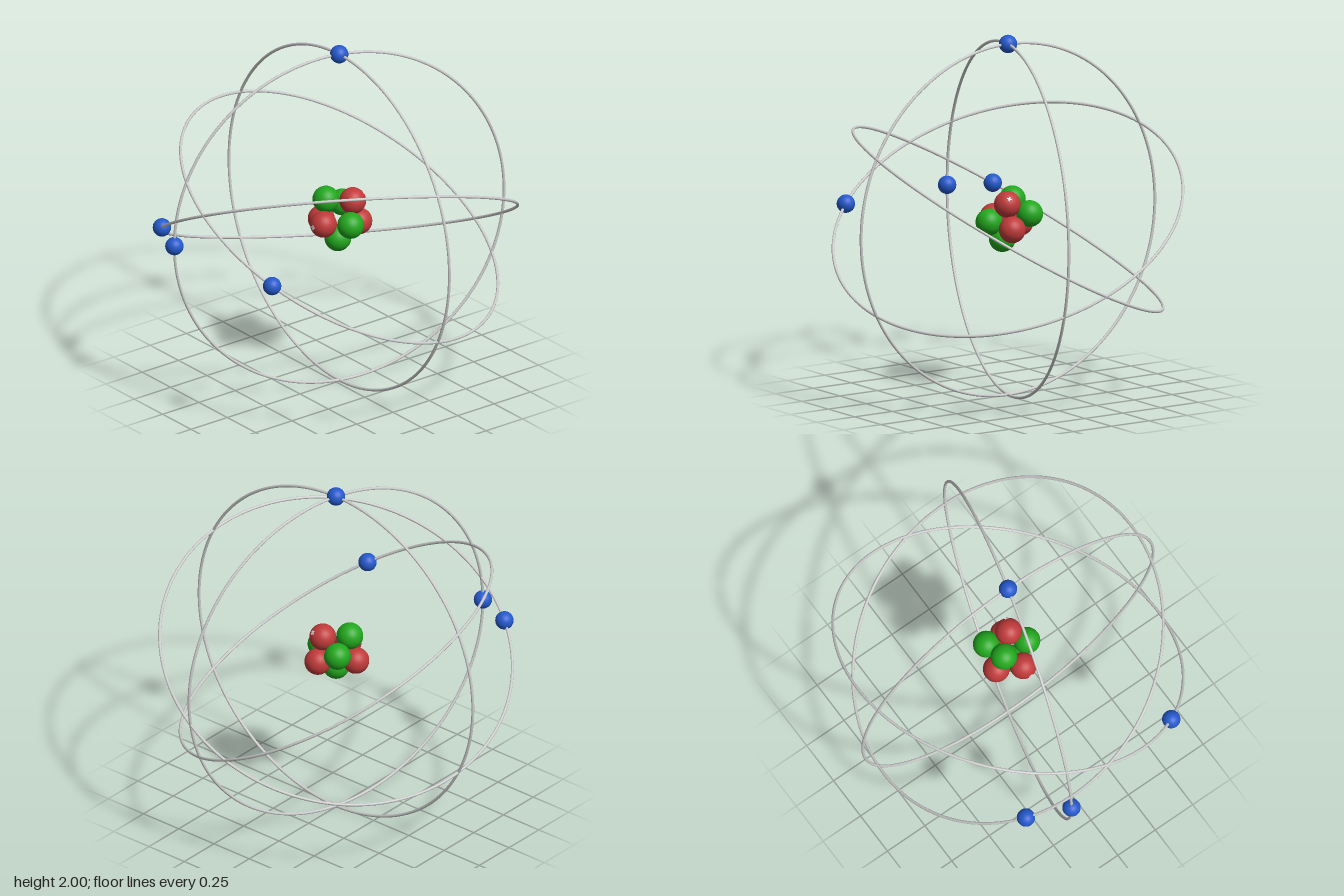
import * as THREE from 'three';

const CENTER = new THREE.Vector3(0, 0.979, -0.02);
const ORBIT = 0.971;
const NUCLEON = 0.073;
const Z_AXIS = new THREE.Vector3(0, 0, 1);

export function createModel() {
  const mat = (name, color) => {
    const m = new THREE.MeshStandardMaterial({ color });
    m.name = name;
    return m;
  };
  const red = mat('proton red', 0xc03a3a);
  const green = mat('neutron green', 0x22a81e);
  const blue = mat('electron blue', 0x2459cc);
  const grey = mat('orbit light grey', 0xcccccc);
  const white = mat('charge mark white', 0xf2f2f2);

  const model = new THREE.Group();
  model.name = 'atom';

  // Nucleus: packed protons and neutrons
  const nucleus = new THREE.Group();
  nucleus.name = 'nucleus';
  const nucleonGeo = new THREE.SphereGeometry(NUCLEON, 32, 20);
  const addNucleon = (name, material, p) => {
    const m = new THREE.Mesh(nucleonGeo, material);
    m.name = name;
    m.position.set(...p);
    nucleus.add(m);
    return m;
  };
  const [upperProton, , frontProton] = [
    [0.045, 1.077, -0.078], [-0.107, 0.943, 0.02], [0.015, 0.975, 0.1], [0.043, 0.943, -0.122],
  ].map((p) => addNucleon('proton', red, p));
  [
    [-0.06, 1.077, 0.025], [-0.083, 1.015, -0.106], [0.117, 0.975, -0.007], [0.02, 0.87, 0.005],
  ].forEach((p) => addNucleon('neutron', green, p));
  model.add(nucleus);

  // Small plus-shaped charge marks on the surface of the protons
  const barGeo = new THREE.BoxGeometry(0.026, 0.007, 0.005);
  const addPlus = (proton, dir) => {
    const plus = new THREE.Group();
    plus.name = 'chargeMark';
    for (const turn of [0, Math.PI / 2]) {
      const bar = new THREE.Mesh(barGeo, white);
      bar.name = 'chargeMarkBar';
      bar.rotation.z = turn;
      plus.add(bar);
    }
    const out = new THREE.Vector3(...dir).normalize();
    plus.quaternion.setFromUnitVectors(Z_AXIS, out);
    plus.position.copy(out).multiplyScalar(NUCLEON);
    proton.add(plus);
  };
  addPlus(frontProton, [0, 0, 1]);
  addPlus(upperProton, [0.34, 0.55, -0.75]);

  // Orbits: each a thin ring given by its normal, carrying one electron in a given direction
  const orbitGeo = new THREE.TorusGeometry(ORBIT, 0.008, 10, 160);
  const electronGeo = new THREE.SphereGeometry(0.05, 32, 20);
  const s15 = Math.sin(Math.PI / 12), c15 = Math.cos(Math.PI / 12);
  const orbits = [
    { normal: [0, 0, 1], electron: [0, 1, 0] },
    { normal: [c15, 0, s15], electron: [-s15, 0, c15] },
    { normal: [0.433, 0.866, -0.25], electron: [0.5, 0, 0.866] },
    { normal: [-0.433, 0.866, -0.25], electron: [-0.5, 0, 0.866] },
  ];
  for (const { normal, electron } of orbits) {
    const ring = new THREE.Mesh(orbitGeo, grey);
    ring.name = 'orbit';
    ring.quaternion.setFromUnitVectors(Z_AXIS, new THREE.Vector3(...normal).normalize());
    ring.position.copy(CENTER);

    const ball = new THREE.Mesh(electronGeo, blue);
    ball.name = 'electron';
    ball.position.set(...electron).normalize().multiplyScalar(ORBIT).add(CENTER);
    model.add(ring, ball);
  }
  return model;
}
